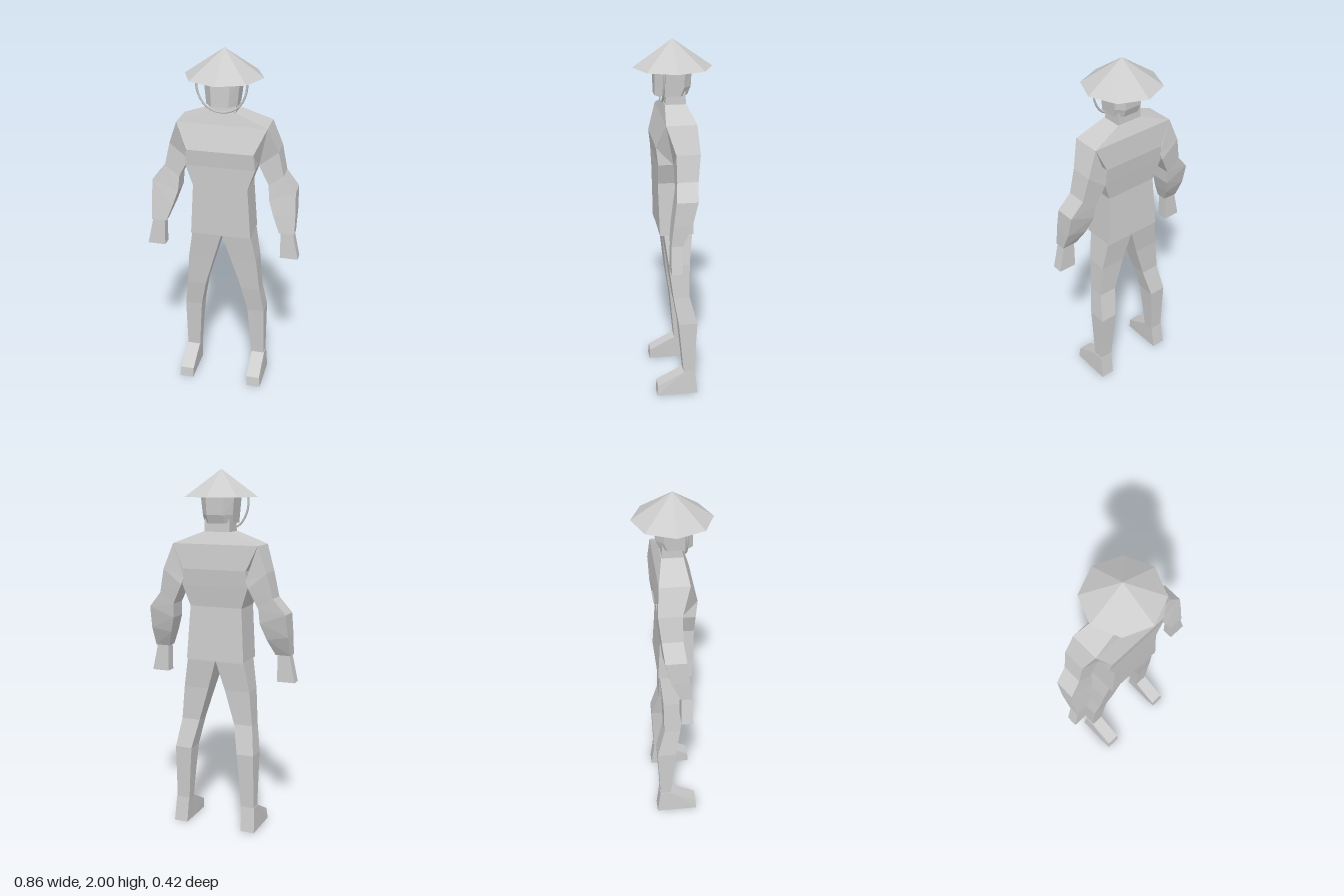
import * as THREE from 'three';

const grey = new THREE.MeshStandardMaterial({ color: 0xcccccc });
grey.name = 'plain grey';
const greyThin = new THREE.MeshStandardMaterial({ color: 0xcccccc, side: THREE.DoubleSide });
greyThin.name = 'plain grey thin';

// Joins rings of [x, y, z] corners into a closed, flat-faced solid.
function loft(rings, mirror = false) {
  const s = mirror ? -1 : 1;
  const pts = rings.map(r => r.map(([x, y, z]) => new THREE.Vector3(x * s, y, z)));
  const n = pts[0].length, last = pts.length - 1, tris = [];
  for (let i = 0; i < last; i++) {
    for (let j = 0; j < n; j++) {
      const k = (j + 1) % n;
      const a = pts[i][j], b = pts[i][k], c = pts[i + 1][k], d = pts[i + 1][j];
      tris.push([a, b, c], [a, c, d]);
    }
  }
  for (let j = 1; j < n - 1; j++) {
    tris.push([pts[0][0], pts[0][j + 1], pts[0][j]]);
    tris.push([pts[last][0], pts[last][j], pts[last][j + 1]]);
  }
  // Turn every face outward, whichever way the rings run.
  let volume = 0;
  for (const [a, b, c] of tris) volume += a.dot(b.clone().cross(c));
  const flat = tris.flatMap(([a, b, c]) => (volume < 0 ? [a, c, b] : [a, b, c]));
  const g = new THREE.BufferGeometry().setFromPoints(flat);
  g.computeVertexNormals();
  return g;
}

// Four corners: outer front, inner front, inner back, outer back.
const quad = (xo, yo, xi, yi, front, back) =>
  [[xo, yo, front], [xi, yi, front], [xi, yi, back], [xo, yo, back]];

// Level rectangle centred on x.
const slab = (y, x, front, back) => quad(x, y, -x, y, front, back);

// Level octagon with chamfered corners.
const octagon = (y, x, front, back) => {
  const cx = x * 0.55, zf = front - 0.045, zb = back + 0.04;
  return [[cx, y, front], [x, y, zf], [x, y, zb], [cx, y, back],
    [-cx, y, back], [-x, y, zb], [-x, y, zf], [-cx, y, front]];
};

export function createModel() {
  const model = new THREE.Group();
  model.name = 'figureInConicalHat';
  const add = (name, geometry, material = grey) => {
    const mesh = new THREE.Mesh(geometry, material);
    mesh.name = name;
    model.add(mesh);
    return mesh;
  };

  // Jacket, neck and head
  add('jacket', loft([
    slab(0.97, 0.168, 0.09, -0.095),
    slab(1.265, 0.15, 0.098, -0.08),
    slab(1.38, 0.19, 0.1, -0.095),
    slab(1.47, 0.182, 0.11, -0.105),
    slab(1.605, 0.245, 0.065, -0.095),
    slab(1.67, 0.078, 0.05, -0.065),
  ]));
  add('neck', loft([slab(1.65, 0.072, 0.048, -0.062), slab(1.74, 0.072, 0.04, -0.06)]));
  add('head', loft([
    octagon(1.715, 0.083, 0.1, -0.072),
    octagon(1.76, 0.087, 0.1, -0.09),
    octagon(1.855, 0.096, 0.1, -0.095),
    octagon(1.9, 0.075, 0.07, -0.07),
  ]));

  // Hat: hollow eight-sided cone
  const cone = new THREE.ConeGeometry(0.21, 0.145, 8, 1, true).toNonIndexed();
  cone.computeVertexNormals();
  add('hat', cone, greyThin).position.y = 1.9275;

  // Chin strap hanging from the hat
  const strap = new THREE.CatmullRomCurve3([
    [-0.135, 1.87], [-0.128, 1.78], [-0.085, 1.705], [0, 1.674],
    [0.085, 1.705], [0.128, 1.78], [0.135, 1.87],
  ].map(([x, y]) => new THREE.Vector3(x, y, 0.06)));
  add('chinStrap', new THREE.TubeGeometry(strap, 20, 0.006, 4));

  for (const mirror of [false, true]) {
    const side = mirror ? 'right' : 'left';

    // Sleeve from the shoulder seam to the wrist
    add(side + 'Arm', loft([
      [[0.245, 1.605, 0.065], [0.18, 1.47, 0.11], [0.18, 1.42, -0.1], [0.245, 1.605, -0.095]],
      quad(0.3, 1.465, 0.195, 1.38, 0.02, -0.105),
      quad(0.33, 1.33, 0.25, 1.27, 0.02, -0.09),
      quad(0.4, 1.245, 0.255, 1.19, 0.032, -0.08),
      quad(0.405, 1.12, 0.285, 1.1, 0.048, -0.05),
      quad(0.405, 1.01, 0.32, 1.01, 0.06, 0),
    ], mirror));

    add(side + 'Hand', loft([
      quad(0.395, 1.025, 0.33, 1.025, 0.058, 0.004),
      quad(0.43, 0.86, 0.33, 0.86, 0.062, 0.002),
    ], mirror));

    // Trouser leg
    add(side + 'Leg', loft([
      quad(0.16, 1.0, 0, 1.0, 0.07, -0.085),
      quad(0.168, 0.96, 0.002, 0.96, 0.066, -0.085),
      quad(0.195, 0.8, 0.05, 0.8, 0.045, -0.07),
      quad(0.212, 0.61, 0.105, 0.61, 0.022, -0.068),
      quad(0.235, 0.45, 0.138, 0.45, -0.005, -0.11),
      quad(0.235, 0.29, 0.15, 0.29, -0.02, -0.102),
      quad(0.235, 0.13, 0.16, 0.13, -0.035, -0.095),
    ], mirror));

    // Wedge-shaped shoe, lofted from heel to toe
    const shoe = (z, top, zTop = z) =>
      [[0.245, 0, z], [0.165, 0, z], [0.162, top, zTop], [0.238, top, zTop]];
    add(side + 'Shoe', loft([
      shoe(-0.115, 0.14, -0.097),
      shoe(-0.035, 0.14),
      shoe(0.12, 0.06, 0.115),
    ], mirror));
  }

  return model;
}
